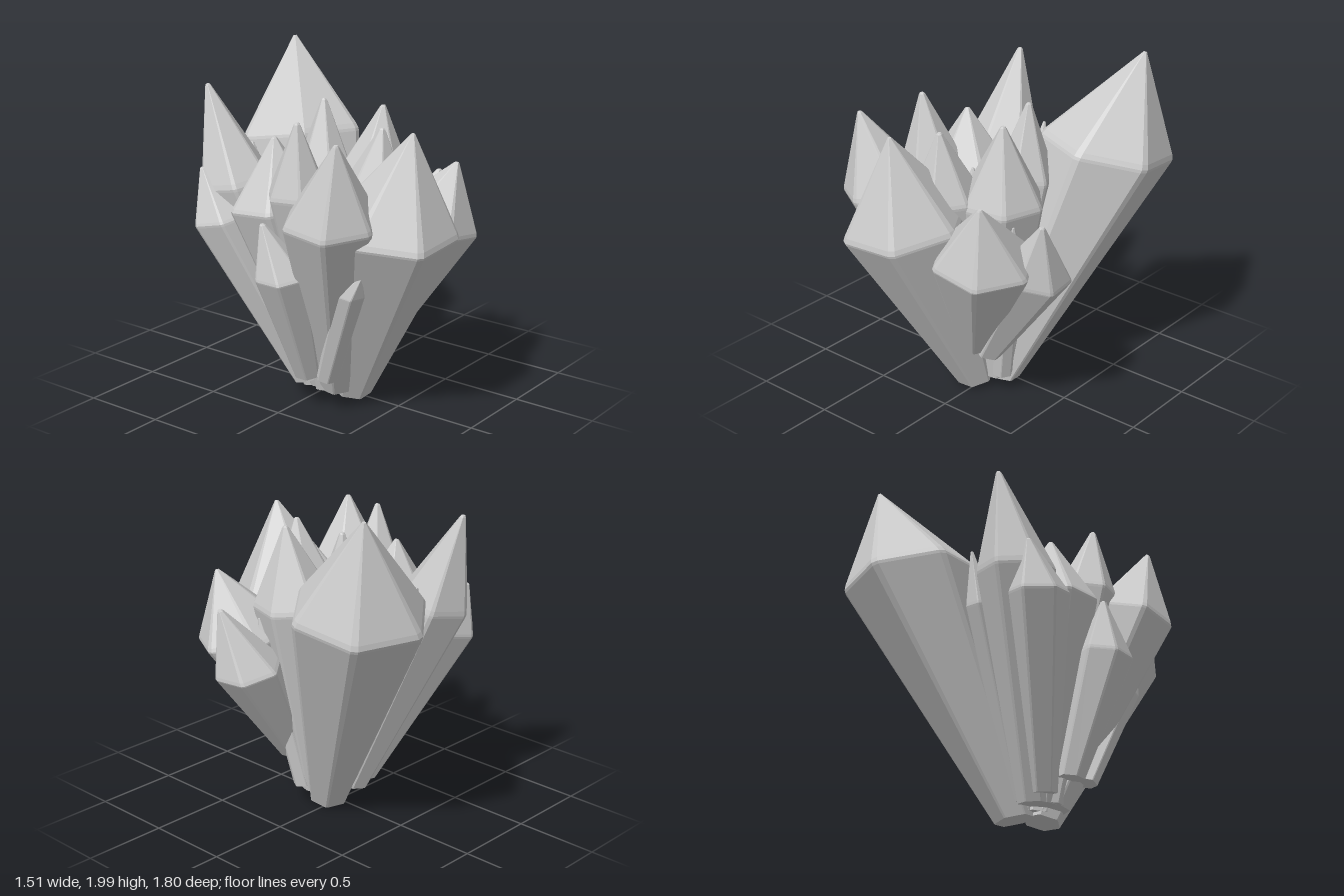
import * as THREE from 'three';

const material = new THREE.MeshStandardMaterial({ color: 0xcccccc, flatShading: true });
const UP = new THREE.Vector3(0, 1, 0);
const SIDES = 6;

// One hexagonal crystal: narrow foot, wide shoulder, pointed tip, softened edges.
function crystal(name, foot, shoulder, tip, radius, twist) {
  // shoulder rings lean half as far as the crystal itself
  const lean = shoulder.clone().sub(foot).normalize().add(UP).normalize();
  const turn = new THREE.Quaternion().setFromUnitVectors(UP, lean);
  const tipRadius = Math.min(0.018, radius * 0.12);
  const rings = [
    [foot, 0],
    [foot, 0.05 + 0.16 * radius],
    [shoulder.clone().lerp(foot, 0.012), radius * 0.985],
    [shoulder, radius * 0.985],
    [shoulder.clone().lerp(tip, 0.05), radius * 0.95],
    [tip.clone().lerp(shoulder, 0.02), tipRadius],
    [tip, tipRadius * 0.6],
    [tip, 0],
  ];
  const n = SIDES * 2;
  const positions = [];
  const index = [];
  rings.forEach(([centre, r], k) => {
    for (let i = 0; i < n; i++) {
      // two points per corner make the narrow chamfer
      const corner = twist + Math.floor(i / 2) * (360 / SIDES);
      const angle = THREE.MathUtils.degToRad(corner + (i % 2 ? 3 : -3));
      const p = new THREE.Vector3(Math.cos(angle) * r, 0, Math.sin(angle) * r);
      positions.push(...p.applyQuaternion(turn).add(centre).toArray());
      if (k === 0) continue;
      const j = (i + 1) % n;
      const lo = (k - 1) * n, up = k * n;
      if (k < rings.length - 1) index.push(lo + i, up + i, up + j);
      if (k > 1) index.push(lo + i, up + j, lo + j);
    }
  });
  const indexed = new THREE.BufferGeometry();
  indexed.setAttribute('position', new THREE.Float32BufferAttribute(positions, 3));
  indexed.setIndex(index);
  const geometry = indexed.toNonIndexed();
  geometry.computeVertexNormals();
  const mesh = new THREE.Mesh(geometry, material);
  mesh.name = name;
  return mesh;
}

export function createModel() {
  const group = new THREE.Group();
  group.name = 'crystalCluster';
  const at = (x, y, z) => new THREE.Vector3(x, y, z);
  const add = (...spec) => group.add(crystal(...spec));

  // name, foot, shoulder centre, tip, shoulder radius, twist in degrees
  // outer ring
  add('largeBackCrystal', at(0.05, 0.04, 0.04), at(0.385, 1.44, -0.52), at(0.52, 2, -0.67), 0.395, 21);
  add('frontCrystal', at(-0.03, 0.05, 0.19), at(-0.2, 1.17, 0.58), at(-0.19, 1.72, 0.7), 0.37, 0);
  add('frontRightCrystal', at(-0.14, 0.1, 0.15), at(-0.51, 1.25, 0.39), at(-0.61, 1.71, 0.5), 0.275, 32);
  add('frontLeftCrystal', at(0.06, 0.35, 0.28), at(0.29, 1.05, 0.48), at(0.38, 1.43, 0.62), 0.3, 0);
  add('leftCrystal', at(0.13, 0.31, 0.25), at(0.48, 0.94, 0.26), at(0.6, 1.3, 0.36), 0.205, 24);
  add('backRightCrystal', at(-0.12, 0.09, -0.01), at(-0.33, 1.3, -0.43), at(-0.35, 1.85, -0.62), 0.225, 22);
  add('smallBackRightCrystal', at(-0.2, 0.13, -0.02), at(-0.47, 1.12, -0.42), at(-0.5, 1.4, -0.54), 0.18, 20);
  add('rightCrystal', at(-0.32, 0.22, 0.08), at(-0.56, 0.9, 0.09), at(-0.62, 1.19, 0), 0.16, 30);

  // inner crystals
  add('innerFrontCrystal', at(-0.03, 0.08, 0.14), at(-0.09, 1.29, 0.37), at(-0.08, 1.69, 0.42), 0.21, 10);
  add('innerLeftCrystal', at(0.08, 0.1, 0.12), at(0.17, 1.27, 0.18), at(0.21, 1.74, 0.22), 0.25, 48);
  add('innerRightCrystal', at(-0.16, 0.1, 0.1), at(-0.43, 1.34, 0.1), at(-0.47, 1.75, 0.13), 0.18, 18);
  add('innerBackCrystal', at(0.03, 0.08, 0.06), at(0.09, 1.3, -0.12), at(0.11, 1.75, -0.13), 0.185, 10);
  add('middleRightCrystal', at(-0.12, 0.1, 0.06), at(-0.35, 1.23, -0.13), at(-0.35, 1.61, -0.13), 0.265, 30);

  // thin crystals
  add('thinBackCrystal', at(-0.02, 0.12, 0), at(-0.08, 1.15, -0.44), at(-0.08, 1.47, -0.52), 0.085, 0);
  add('thinMiddleCrystal', at(-0.05, 0.12, 0.1), at(-0.13, 1.15, 0.08), at(-0.14, 1.35, 0.07), 0.07, 15);
  add('thinLeftCrystal', at(0.15, 0.13, 0.15), at(0.31, 1, 0.27), at(0.35, 1.2, 0.3), 0.07, 0);
  add('thinFrontCrystal', at(-0.32, 0.23, 0.22), at(-0.43, 0.83, 0.46), at(-0.46, 0.95, 0.56), 0.09, 20);
  return group;
}
